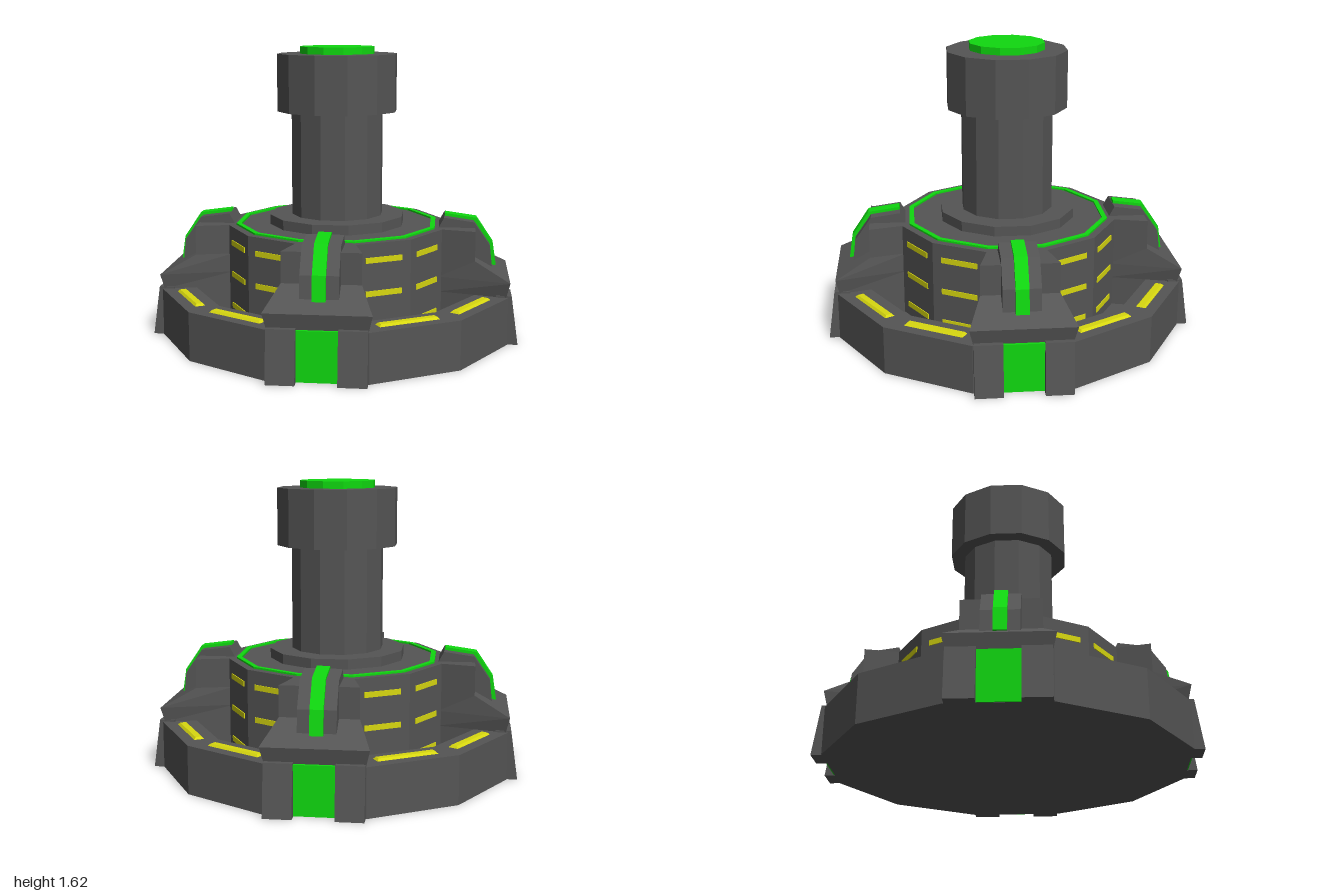
import * as THREE from 'three';

const mat = (color) => new THREE.MeshStandardMaterial({ color, flatShading: true, side: THREE.DoubleSide });
const GREY = mat(0x555555), GREEN = mat(0x10d810), YELLOW = mat(0xd8d810);
const SIDES = 12;

function add(parent, name, geometry, material) {
  const mesh = new THREE.Mesh(geometry, material);
  mesh.name = name;
  parent.add(mesh);
  return mesh;
}

const lathe = (pts) => new THREE.LatheGeometry(pts.map(([r, y]) => new THREE.Vector2(r, y)), SIDES);

// Upright twelve-sided prism between two heights
function prism(r, y0, y1) {
  return new THREE.CylinderGeometry(r, r, y1 - y0, SIDES).translate(0, (y0 + y1) / 2, 0);
}

// Box whose top face is scaled down to give bevelled sides
function bevelBox(w, h, d, bevel) {
  const g = new THREE.BoxGeometry(w, h, d);
  const p = g.attributes.position;
  for (let i = 0; i < p.count; i++) {
    if (p.getY(i) > 0) {
      p.setX(i, p.getX(i) - Math.sign(p.getX(i)) * bevel);
      p.setZ(i, p.getZ(i) - Math.sign(p.getZ(i)) * bevel);
    }
  }
  return g;
}

// Stacked trapezoids: each level is [y, inner z, inner half width, outer z, outer half width]
function loft(levels) {
  const pos = [], idx = [];
  for (const [y, zi, wi, zo, wo] of levels) pos.push(-wi, y, zi, -wo, y, zo, wo, y, zo, wi, y, zi);
  for (let l = 0; l < levels.length - 1; l++) {
    for (let k = 0; k < 4; k++) {
      const a = l * 4 + k, b = l * 4 + (k + 1) % 4;
      idx.push(a, b, b + 4, a, b + 4, a + 4);
    }
  }
  const t = (levels.length - 1) * 4;
  idx.push(0, 2, 1, 0, 3, 2, t, t + 1, t + 2, t, t + 2, t + 3);
  const g = new THREE.BufferGeometry();
  g.setAttribute('position', new THREE.Float32BufferAttribute(pos, 3));
  g.setIndex(idx);
  const flat = g.toNonIndexed();
  flat.computeVertexNormals();
  return flat;
}

// Side profile in (radial distance, height), extruded across the buttress
function sideProfile(pts, width) {
  const shape = new THREE.Shape(pts.map(([z, y]) => new THREE.Vector2(z, y)));
  return new THREE.ExtrudeGeometry(shape, { depth: width, bevelEnabled: false })
    .translate(0, 0, -width / 2).rotateY(-Math.PI / 2);
}

function buttress() {
  const g = new THREE.Group();
  g.name = 'buttress';

  // Wedge body with overhanging skirt
  add(g, 'buttressBody', loft([
    [0.1, 0.58, 0.155, 0.955, 0.255],
    [0.265, 0.58, 0.155, 0.955, 0.255],
    [0.35, 0.58, 0.155, 0.975, 0.275],
    [0.455, 0.58, 0.155, 0.783, 0.207],
    [0.62, 0.58, 0.155, 0.783, 0.207],
  ]), GREY);

  // Curved rib and its glowing strip
  add(g, 'ribFrame', sideProfile([
    [0.7, 0.36], [0.885, 0.36], [0.867, 0.52], [0.775, 0.652], [0.61, 0.675], [0.575, 0.61], [0.7, 0.6],
  ], 0.2), GREY);
  add(g, 'ribStrip', sideProfile([
    [0.86, 0.39], [0.905, 0.395], [0.885, 0.525], [0.79, 0.666], [0.615, 0.69], [0.605, 0.64], [0.75, 0.62], [0.84, 0.5],
  ], 0.07), GREEN);

  // Leaning posts on either side of a green panel
  for (const s of [-1, 1]) {
    const post = add(g, 'post', sideProfile([[0.9, 0], [1.024, 0], [0.985, 0.275], [0.9, 0.275]], 0.148), GREY);
    post.position.x = s * 0.18;
  }
  add(g, 'basePanel', new THREE.BoxGeometry(0.212, 0.265, 0.04).translate(0, 0.1335, 0.952), GREEN);
  return g;
}

// Lights of one open segment of the base and drum
function segmentLights() {
  const g = new THREE.Group();
  g.name = 'segmentLights';
  add(g, 'rimLight', bevelBox(0.345, 0.014, 0.058, 0.012).translate(0, 0.27, 0.876), YELLOW);
  for (const y of [0.17, 0.35, 0.53]) {
    add(g, 'drumWindow', new THREE.BoxGeometry(0.213, 0.03, 0.02).translate(0, y, 0.594), YELLOW);
  }
  return g;
}

export function createModel() {
  const model = new THREE.Group();
  model.name = 'tower';

  // Base rim, sunken walkway and drum in one turned profile
  add(model, 'base', lathe([
    [0, 0], [1, 0], [1, 0.265], [0.81, 0.265], [0.81, 0.1], [0.62, 0.1], [0.62, 0.62], [0, 0.62],
  ]), GREY);
  add(model, 'drumRing', lathe([
    [0.55, 0.615], [0.578, 0.615], [0.578, 0.63], [0.55, 0.63], [0.55, 0.615],
  ]), GREEN);

  // Column with collar, head and cap
  add(model, 'collar', prism(0.385, 0.61, 0.675), GREY);
  add(model, 'column', prism(0.26, 0.67, 1.27), GREY);
  add(model, 'head', prism(0.34, 1.26, 1.58), GREY);
  add(model, 'cap', prism(0.212, 1.57, 1.62), GREEN);

  // Every third segment carries a buttress, the others carry lights
  for (let k = 0; k < SIDES; k++) {
    const part = k % 3 === 1 ? buttress() : segmentLights();
    part.rotation.y = THREE.MathUtils.degToRad(15 + 30 * k);
    model.add(part);
  }
  return model;
}
